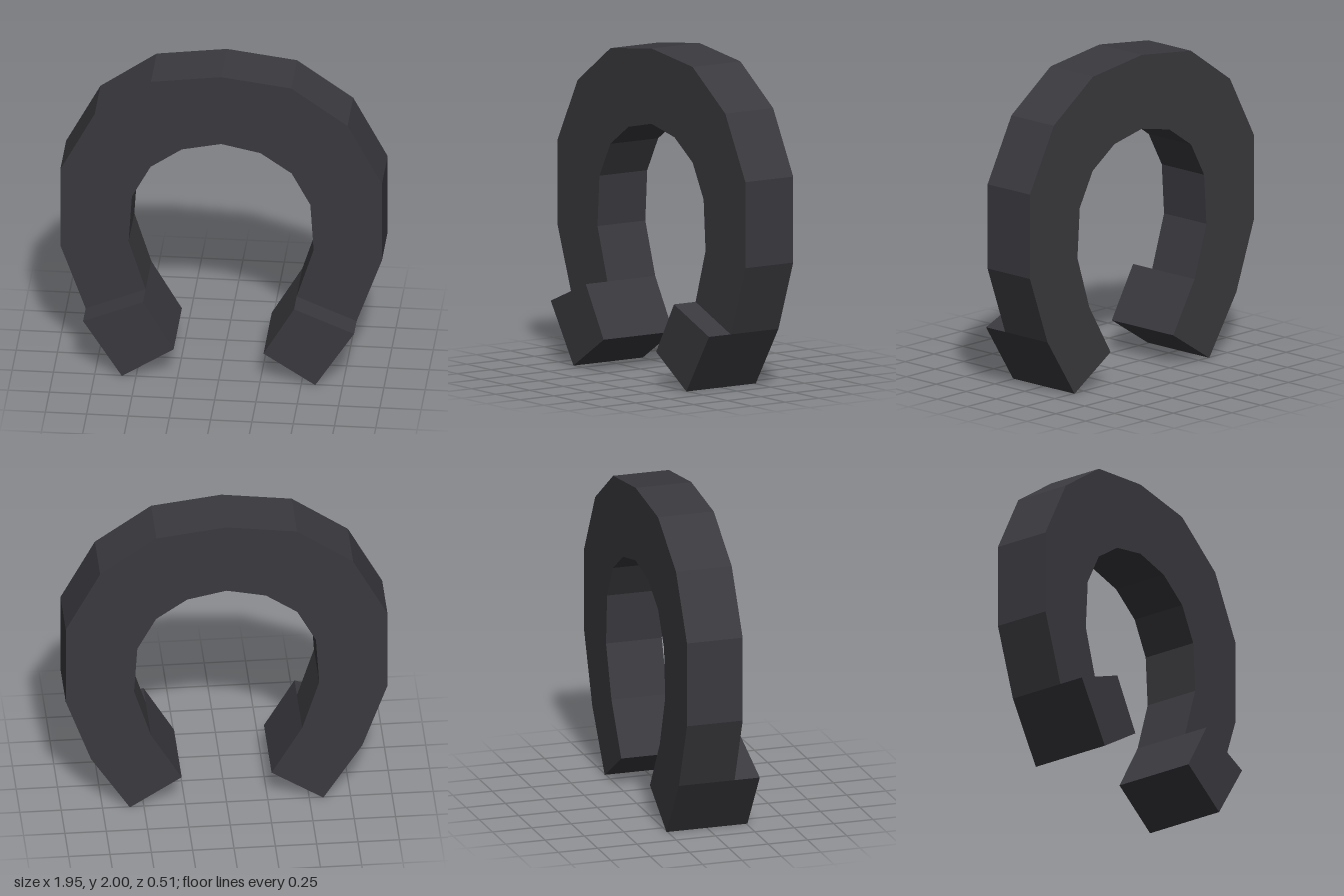
import * as THREE from 'three';

// Half outline, from the crown down to the heel
const outer = [[0, 2], [0.425, 1.945], [0.765, 1.705], [0.973, 1.315], [0.973, 0.79], [0.82, 0.365], [0.585, 0]];
const inner = [[0, 1.54], [0.238, 1.49], [0.427, 1.36], [0.54, 1.15], [0.56, 0.84], [0.457, 0.515], [0.272, 0.2]];

const mirror = (points) => points.map(([x, y]) => [-x, y]);

function slab(name, points, back, front, material) {
  const shape = new THREE.Shape(points.map(([x, y]) => new THREE.Vector2(x, y)));
  const geometry = new THREE.ExtrudeGeometry(shape, { depth: front - back, bevelEnabled: false });
  geometry.translate(0, 0, back);
  const mesh = new THREE.Mesh(geometry, material);
  mesh.name = name;
  return mesh;
}

export function createModel() {
  const group = new THREE.Group();
  group.name = 'horseshoe';
  const iron = new THREE.MeshStandardMaterial({ color: 0x3a393e });
  iron.name = 'dark iron';

  // Curved body: across the outer edge, then back along the inner edge
  const outline = [
    ...mirror(outer).reverse(), ...outer.slice(1),
    ...[...inner].reverse(), ...mirror(inner).slice(1),
  ];
  group.add(slab('horseshoeBody', outline, -0.257, 0.097, iron));

  // Raised heel blocks on the front of both ends
  const heel = [outer[5], outer[6], inner[6], inner[5]];
  group.add(slab('leftHeel', heel, 0.097, 0.257, iron));
  group.add(slab('rightHeel', mirror(heel), 0.097, 0.257, iron));
  return group;
}
